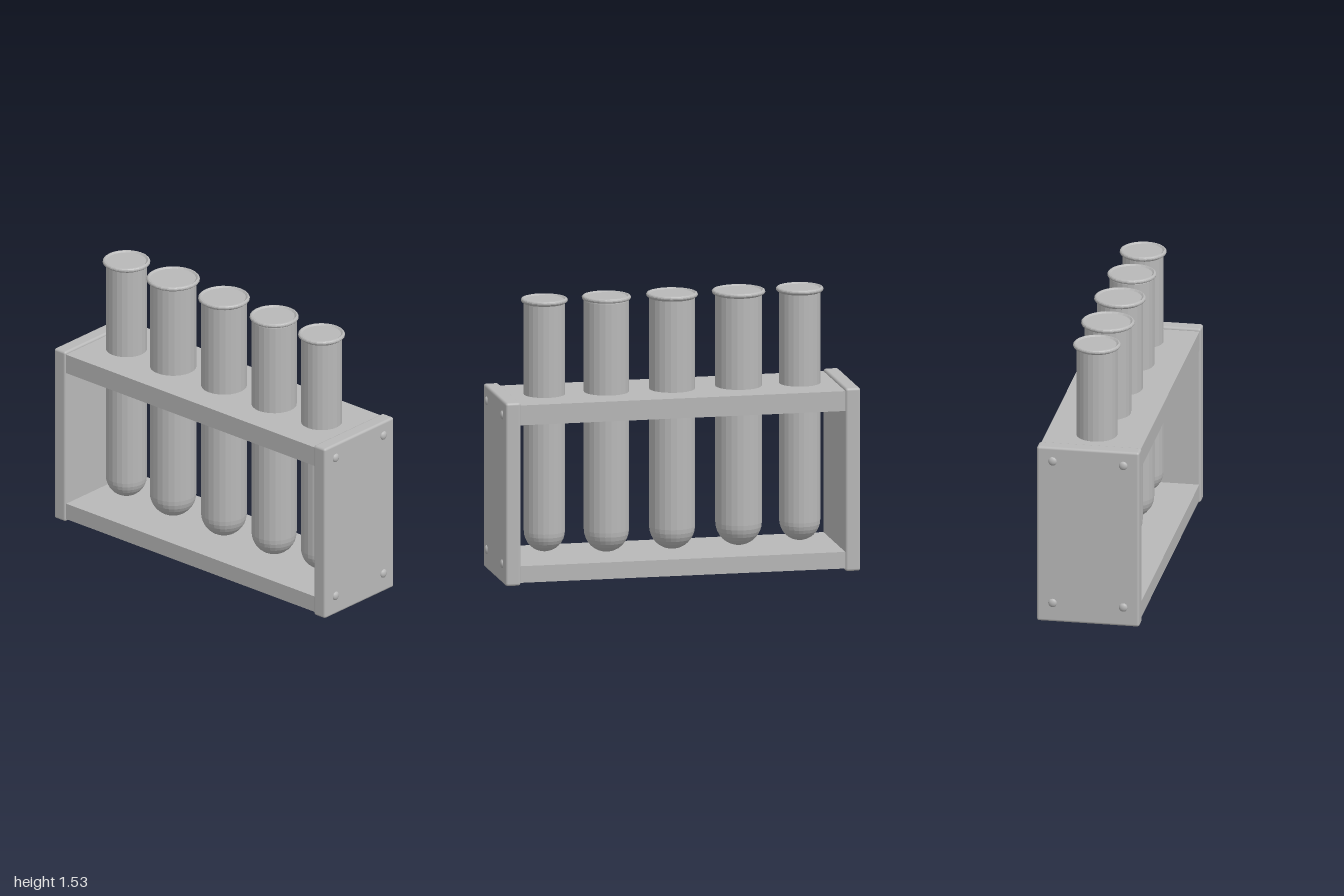
import * as THREE from 'three';
import { RoundedBoxGeometry } from 'three/addons/geometries/RoundedBoxGeometry.js';

const grey = new THREE.MeshStandardMaterial({ color: 0xb8b8b8 });
grey.name = 'plain grey';

// centre x, body radius, rim radius, height of the rounded bottom
const TUBES = [
  [-0.71, 0.112, 0.13, 0.13],
  [-0.37, 0.127, 0.146, 0.118],
  [0, 0.125, 0.141, 0.113],
  [0.365, 0.123, 0.134, 0.113],
  [0.71, 0.112, 0.128, 0.13],
];

function add(parent, name, geometry, x = 0, y = 0, z = 0) {
  const mesh = new THREE.Mesh(geometry, grey);
  mesh.name = name;
  mesh.position.set(x, y, z);
  parent.add(mesh);
  return mesh;
}

// Closed tube: round bottom, straight wall, beaded lip and a slightly sunken top
function tubeGeometry(radius, rim, bottom) {
  const points = [];
  for (let i = 0; i <= 8; i++) {
    const a = (i / 8) * Math.PI / 2;
    points.push(new THREE.Vector2(radius * Math.sin(a), bottom + radius * (1 - Math.cos(a))));
  }
  points.push(new THREE.Vector2(radius, 1.505));
  const lip = 0.012;
  for (let i = 0; i <= 6; i++) {
    const a = -Math.PI / 2 + (i / 6) * Math.PI;
    points.push(new THREE.Vector2(rim - lip + lip * Math.cos(a), 1.522 + lip * Math.sin(a)));
  }
  points.push(new THREE.Vector2(rim - 0.022, 1.526), new THREE.Vector2(0, 1.526));
  const flat = new THREE.LatheGeometry(points, 24).toNonIndexed();
  flat.computeVertexNormals();
  return flat;
}

export function createModel() {
  const model = new THREE.Group();
  model.name = 'testTubeRack';

  // End panels with their screws
  for (const side of [-1, 1]) {
    const end = new THREE.Group();
    end.name = side > 0 ? 'leftEnd' : 'rightEnd';
    model.add(end);
    add(end, 'endPanel', new RoundedBoxGeometry(0.084, 1.015, 0.566, 2, 0.014), side * 0.945, 0.5075, 0);
    for (const y of [0.11, 0.935]) {
      for (const z of [-0.195, 0.195]) {
        const screw = add(end, 'screw', new THREE.SphereGeometry(0.025, 12, 8), side * 0.985, y, z);
        screw.scale.x = 0.6;
      }
    }
  }

  // Base board
  add(model, 'baseBoard', new THREE.BoxGeometry(1.82, 0.092, 0.55), 0, 0.062, 0);

  // Upper shelf: two rails under a pierced top sheet, open underneath
  for (const side of [-1, 1]) {
    add(model, side > 0 ? 'frontRail' : 'backRail',
      new THREE.BoxGeometry(1.82, 0.11, 0.1), 0, 0.944, side * 0.225);
  }
  const sheet = new THREE.Shape([
    new THREE.Vector2(-0.91, -0.275), new THREE.Vector2(0.91, -0.275),
    new THREE.Vector2(0.91, 0.275), new THREE.Vector2(-0.91, 0.275),
  ]);
  for (const [x, radius] of TUBES) {
    sheet.holes.push(new THREE.Path().absarc(x, 0, radius - 0.003, 0, Math.PI * 2, true));
  }
  add(model, 'shelfTop', new THREE.ShapeGeometry(sheet, 12).rotateX(-Math.PI / 2), 0, 1, 0);

  // Test tubes
  for (const [x, radius, rim, bottom] of TUBES) {
    add(model, 'testTube', tubeGeometry(radius, rim, bottom), x, 0, 0);
  }
  return model;
}
